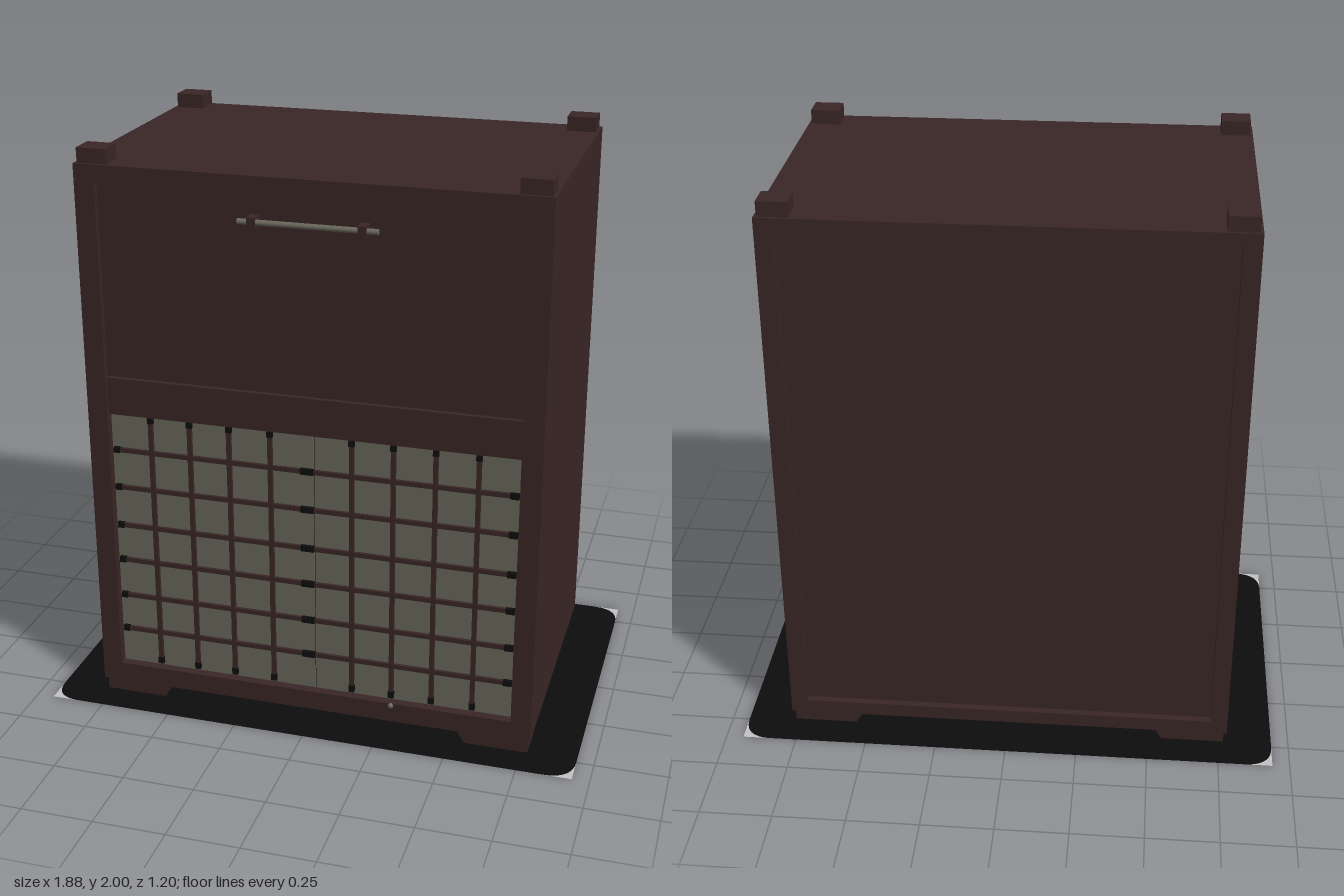
import * as THREE from 'three';

export function createModel() {
  const model = new THREE.Group();
  model.name = 'cabinet';
  const paint = (name, color, side = THREE.FrontSide) => {
    const m = new THREE.MeshStandardMaterial({ color, side });
    m.name = name;
    return m;
  };
  const wood = paint('dark brown wood', 0x3a2626);
  const glass = paint('grey glass', 0x69675b);
  const black = paint('black', 0x0d0d0d, THREE.DoubleSide);
  const pale = paint('pale grey', 0xc4c4c4, THREE.DoubleSide);

  const add = (name, geometry, material, x = 0, y = 0, z = 0) => {
    const mesh = new THREE.Mesh(geometry, material);
    mesh.name = name;
    mesh.position.set(x, y, z);
    model.add(mesh);
    return mesh;
  };
  // Box given by its minimum and maximum on each axis
  const box = (name, material, x0, x1, y0, y1, z0, z1) =>
    add(name, new THREE.BoxGeometry(x1 - x0, y1 - y0, z1 - z0), material,
      (x0 + x1) / 2, (y0 + y1) / 2, (z0 + z1) / 2);
  const rect = (Type, x0, x1, y0, y1) =>
    new Type([[x0, y0], [x1, y0], [x1, y1], [x0, y1]].map(p => new THREE.Vector2(...p)));

  // Body core with a raised frame on front and back
  const W = 0.78, BOTTOM = 0.05, TOP = 1.95, D = 0.5, FACE = 0.46;
  box('body', wood, -W, W, BOTTOM, TOP, -0.475, FACE);
  const frame = (name, z0, z1, hx, hy0, hy1) => {
    const shape = rect(THREE.Shape, -W, W, BOTTOM, TOP);
    shape.holes.push(rect(THREE.Path, -hx, hx, hy0, hy1));
    add(name, new THREE.ExtrudeGeometry(shape, { depth: z1 - z0, bevelEnabled: false }), wood, 0, 0, z0);
  };
  frame('frontFrame', FACE, D, 0.71, 0.12, 1.89);
  frame('backFrame', -D, -0.475, 0.72, 0.1, 1.91);

  // Drop-down door and the rail beneath it
  box('door', wood, -0.707, 0.707, 1.223, 1.887, FACE, 0.485);
  box('middleRail', wood, -0.71, 0.71, 1.085, 1.217, FACE, 0.487);

  // Two glass doors with a lattice of bars
  for (const s of [-1, 1]) {
    const x0 = s < 0 ? -0.71 : 0.013, x1 = s < 0 ? 0.01 : 0.71;
    box('glassDoor', glass, x0, x1, 0.12, 1.085, FACE, 0.468);
  }
  const columns = [-0.565, -0.425, -0.285, -0.14, 0.143, 0.285, 0.427, 0.57];
  const rows = [0.255, 0.39, 0.53, 0.665, 0.81, 0.95];
  for (const x of columns) {
    box('latticeUpright', wood, x - 0.008, x + 0.008, 0.15, 1.065, 0.466, 0.48);
    box('latticeEnd', black, x - 0.01, x + 0.01, 0.13, 0.155, 0.466, 0.481);
    box('latticeEnd', black, x - 0.01, x + 0.01, 1.06, 1.08, 0.466, 0.481);
  }
  for (const y of rows) {
    box('latticeCrossbar', wood, -0.69, 0.69, y - 0.008, y + 0.008, 0.466, 0.479);
    for (const [x0, x1] of [[-0.703, -0.68], [-0.035, 0.012], [0.675, 0.705]])
      box('latticeEnd', black, x0, x1, y - 0.01, y + 0.01, 0.466, 0.482);
  }
  box('glassDoorSeam', black, 0.01, 0.013, 0.12, 1.085, FACE, 0.464);
  add('doorCatch', new THREE.SphereGeometry(0.01, 10, 8), glass, 0.29, 0.112, D);

  // Bar handle on two brackets
  const bar = add('handleBar', new THREE.CylinderGeometry(0.01, 0.01, 0.46, 12), glass, 0.01, 1.805, 0.514);
  bar.rotation.z = Math.PI / 2;
  for (const x of [-0.172, 0.19])
    box('handleBracket', wood, x - 0.014, x + 0.014, 1.788, 1.823, 0.484, 0.528);

  // Corner blocks on top and tapered feet below
  for (const sx of [-1, 1]) {
    const foot = new THREE.Shape([[0.55, 0.002], [0.77, 0.002], [0.77, 0.052], [0.52, 0.052]]
      .map(([x, y]) => new THREE.Vector2(sx * x, y)));
    for (const sz of [-1, 1]) {
      add('topBlock', new THREE.BoxGeometry(0.1, 0.055, 0.09), wood, sx * 0.72, 1.9725, sz * 0.445);
      add('foot', new THREE.ExtrudeGeometry(foot, { depth: 0.12, bevelEnabled: false }), wood,
        0, 0, sz > 0 ? 0.37 : -0.485);
    }
  }

  // Thin ground mat with rounded black centre and pale corners
  const X = 0.94, Z = 0.6, R = 0.1;
  const mat = new THREE.Shape();
  mat.moveTo(-X + R, -Z);
  mat.lineTo(X - R, -Z).quadraticCurveTo(X, -Z, X, -Z + R);
  mat.lineTo(X, Z - R).quadraticCurveTo(X, Z, X - R, Z);
  mat.lineTo(-X + R, Z).quadraticCurveTo(-X, Z, -X, Z - R);
  mat.lineTo(-X, -Z + R).quadraticCurveTo(-X, -Z, -X + R, -Z);
  add('groundMat', new THREE.ShapeGeometry(mat).rotateX(-Math.PI / 2), black);
  for (const sx of [-1, 1]) for (const sz of [-1, 1]) {
    const corner = new THREE.Shape();
    corner.moveTo(sx * X, sz * Z);
    corner.lineTo(sx * X, sz * (Z - R));
    corner.quadraticCurveTo(sx * X, sz * Z, sx * (X - R), sz * Z);
    add('matCorner', new THREE.ShapeGeometry(corner).rotateX(-Math.PI / 2), pale);
  }
  return model;
}
